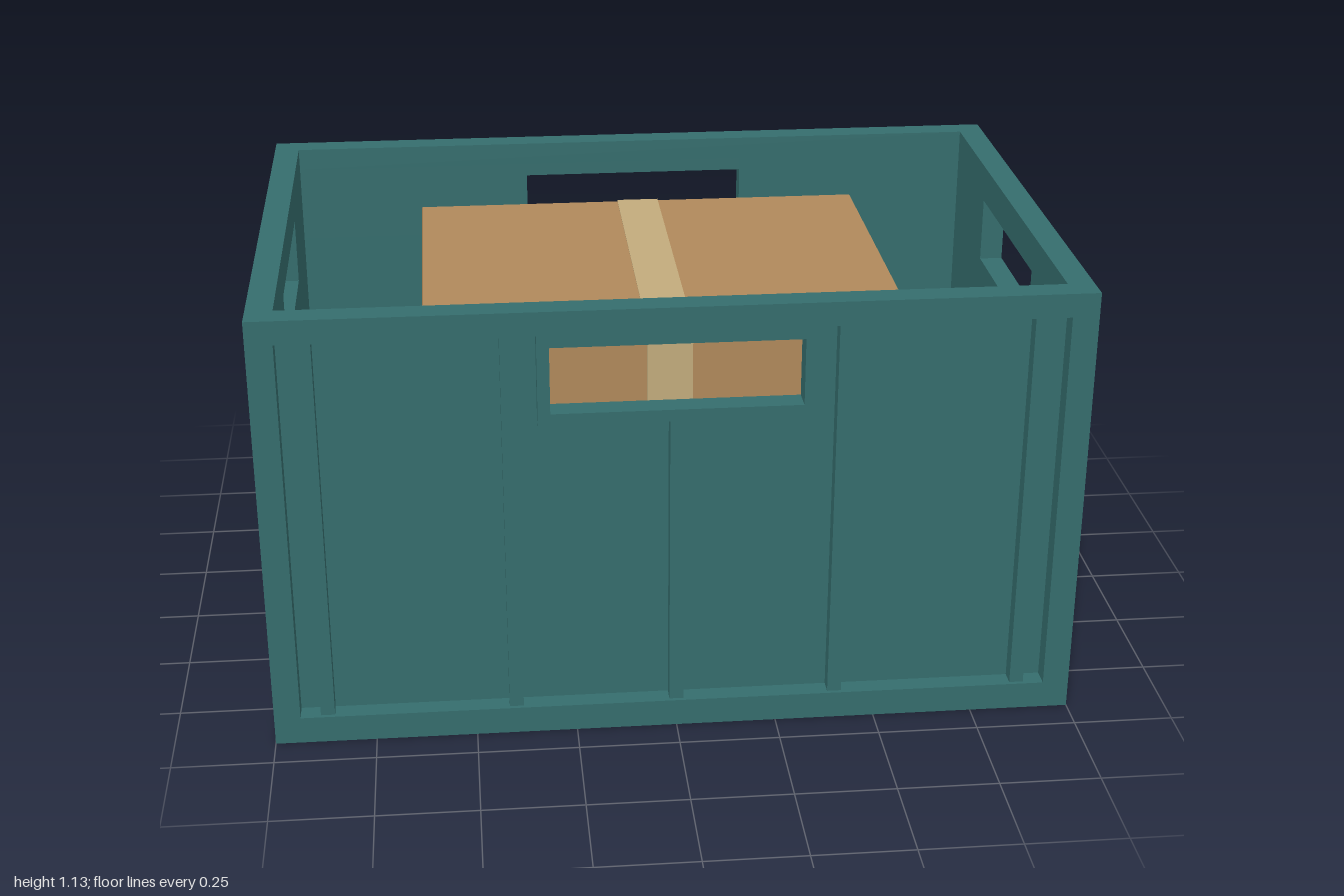
import * as THREE from 'three';

const paint = (name, color) => {
  const m = new THREE.MeshStandardMaterial({ color });
  m.name = name;
  return m;
};

export function createModel() {
  const plastic = paint('greenPlastic', 0x356d6d);
  const card = paint('cardboard', 0xb0895b);
  const tape = paint('packingTape', 0xc2ab7c);
  const dark = paint('cardboardSeam', 0x7d5d3a);

  const X = 1, Z = 0.665;            // outer half sizes
  const FLOOR = 0.07, RIM = 1.07, TOP = 1.13;
  const SILL = 0.868, HEAD = 1.037;  // hand hole bottom and top
  const BAR = 0.065, EDGE = 0.03;

  const model = new THREE.Group();
  model.name = 'crate';

  // Box given by its limits on each axis
  const block = (parent, name, mat, x0, x1, y0, y1, z0, z1) => {
    const mesh = new THREE.Mesh(new THREE.BoxGeometry(x1 - x0, y1 - y0, z1 - z0), mat);
    mesh.position.set((x0 + x1) / 2, (y0 + y1) / 2, (z0 + z1) / 2);
    mesh.name = name;
    parent.add(mesh);
    return mesh;
  };

  // Floor plate, with a foot frame and cross ribs below
  block(model, 'floor', plastic, -X, X, 0.055, FLOOR, -Z, Z);
  for (const x of [-0.67, 0, 0.67])
    block(model, 'floorRib', plastic, x - 0.03, x + 0.03, 0.004, 0.055, -0.61, 0.61);

  for (const s of [-1, 1]) {
    const zFoot = s * (Z - 0.0275), zRim = s * (Z - BAR / 2);
    const xFoot = s * (X - 0.0275), xRim = s * (X - BAR / 2);
    // Long and short bars of the foot frame
    block(model, 'longFoot', plastic, -X, X, 0, 0.055, zFoot - 0.0275, zFoot + 0.0275);
    block(model, 'shortFoot', plastic, xFoot - 0.0275, xFoot + 0.0275, 0, 0.055, -0.61, 0.61);
    // Long and short bars of the top rim
    block(model, 'longRim', plastic, -X, X, RIM, TOP, zRim - BAR / 2, zRim + BAR / 2);
    block(model, 'shortRim', plastic, xRim - BAR / 2, xRim + BAR / 2, RIM, TOP, -0.6, 0.6);
    // Corner posts
    for (const t of [-1, 1]) {
      const z = t * (Z - BAR / 2);
      block(model, 'cornerPost', plastic, xRim - BAR / 2, xRim + BAR / 2, FLOOR, RIM,
        z - BAR / 2, z + BAR / 2);
    }
  }

  // One wall facing +z, its outer limit at z = reach
  const wall = (name, reach, half, hole, ribs, centreRib, turn) => {
    const g = new THREE.Group();
    g.name = name;
    const back = reach - BAR, skin = back + 0.016, face = reach - 0.005, ribFace = reach - 0.01;
    block(g, 'lowerPanel', plastic, -half, half, FLOOR, SILL, back, skin);
    for (const s of [-1, 1]) {
      const span = (a, b) => (s > 0 ? [a, b] : [-b, -a]);
      block(g, 'upperPanel', plastic, ...span(hole + EDGE, half), SILL, RIM, back, skin);
      block(g, 'handleSide', plastic, ...span(hole, hole + EDGE), SILL, RIM, back, face);
      for (const x of ribs)
        block(g, 'wallRib', plastic, ...span(x - 0.0175, x + 0.0175), FLOOR, RIM, skin, ribFace);
    }
    block(g, 'handleTop', plastic, -hole, hole, HEAD, RIM, back, face);
    block(g, 'handleSill', plastic, -hole - EDGE, hole + EDGE, SILL - EDGE, SILL, skin, face);
    if (centreRib)
      block(g, 'centreRib', plastic, -0.0175, 0.0175, FLOOR, SILL - EDGE, skin, ribFace);
    g.rotation.y = turn;
    model.add(g);
  };
  wall('frontWall', Z, X - BAR, 0.302, [0.4, 0.868], true, 0);
  wall('backWall', Z, X - BAR, 0.302, [0.4, 0.868], true, Math.PI);
  wall('leftWall', X, Z - BAR, 0.27, [0.4], false, Math.PI / 2);
  wall('rightWall', X, Z - BAR, 0.27, [0.4], false, -Math.PI / 2);

  // Cardboard box standing in the crate
  const parcel = new THREE.Group();
  parcel.name = 'parcel';
  model.add(parcel);
  block(parcel, 'carton', card, -0.597, 0.597, FLOOR, 0.998, -0.467, 0.467);
  block(parcel, 'lidSeam', dark, -0.598, 0.598, 0.989, 0.996, -0.468, 0.468);
  // Tape over the top and down both faces
  block(parcel, 'topTape', tape, -0.056, 0.056, 0.996, 1.001, -0.47, 0.47);
  for (const s of [-1, 1])
    block(parcel, 'endTape', tape, -0.056, 0.056, 0.76, 0.998, s * 0.468 - 0.002, s * 0.468 + 0.002);

  return model;
}
